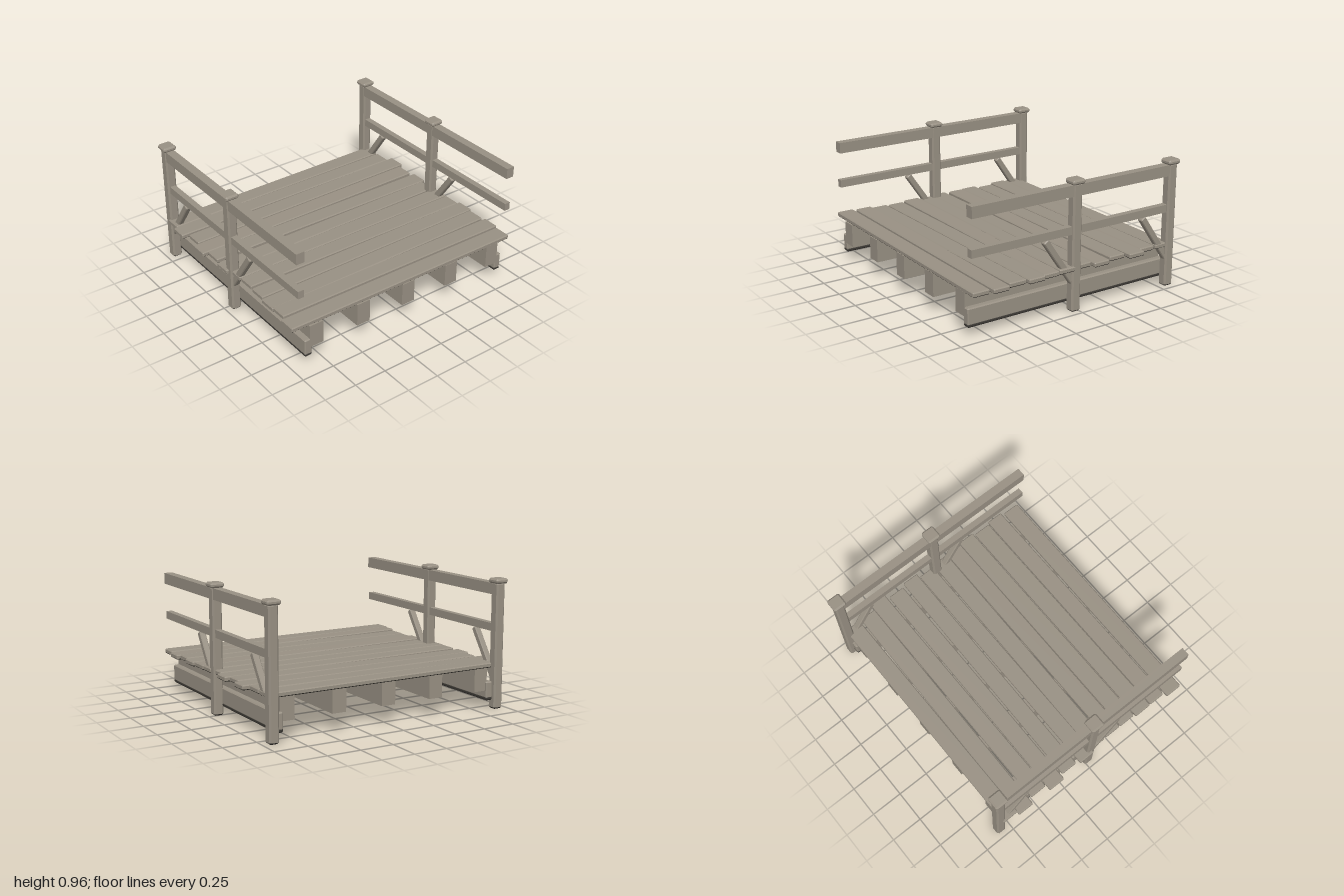
import * as THREE from 'three';
import { ConvexGeometry } from 'three/addons/geometries/ConvexGeometry.js';

const wood = new THREE.MeshStandardMaterial({ color: 0x989083 });
wood.name = 'weatheredWood';
const dampWood = new THREE.MeshStandardMaterial({ color: 0x3d3a35 });
dampWood.name = 'dampWood';

// Box with flat chamfers along every edge
function chamferBox(w, h, d, c) {
  const points = [];
  for (const x of [-w / 2, w / 2]) for (const y of [-h / 2, h / 2]) for (const z of [-d / 2, d / 2]) {
    const sx = Math.sign(x) * c, sy = Math.sign(y) * c, sz = Math.sign(z) * c;
    points.push(
      new THREE.Vector3(x, y - sy, z - sz),
      new THREE.Vector3(x - sx, y, z - sz),
      new THREE.Vector3(x - sx, y - sy, z));
  }
  return new ConvexGeometry(points);
}

// Adds a timber spanning the given min/max corners; chamfer 0 gives sharp edges
function timber(parent, name, [x0, x1], [y0, y1], [z0, z1], chamfer = 0, material = wood) {
  const w = x1 - x0, h = y1 - y0, d = z1 - z0;
  const geometry = chamfer ? chamferBox(w, h, d, chamfer) : new THREE.BoxGeometry(w, h, d).toNonIndexed();
  const mesh = new THREE.Mesh(geometry, material);
  mesh.name = name;
  mesh.position.set((x0 + x1) / 2, (y0 + y1) / 2, (z0 + z1) / 2);
  parent.add(mesh);
  return mesh;
}

// Gives the downward faces of a timber the damp colour
function dampUnderside(mesh) {
  const { geometry } = mesh;
  const normal = geometry.getAttribute('normal');
  geometry.clearGroups();
  for (let i = 0; i < normal.count; i += 3) {
    geometry.addGroup(i, 3, normal.getY(i) < -0.3 ? 1 : 0);
  }
  mesh.material = [wood, dampWood];
  return mesh;
}

// Uneven deck boards: [left x, right x, back z, front z, centre y, yaw, rise at front]
const BOARDS = [
  [-0.822, -0.692, -0.95, 0.97, 0.323, 0.005, 0],
  [-0.687, -0.557, -0.95, 0.995, 0.322, -0.006, -0.003],
  [-0.546, -0.412, -1.0, 0.95, 0.323, 0.005, -0.003],
  [-0.401, -0.267, -0.96, 0.995, 0.322, 0, -0.005],
  [-0.25, -0.119, -0.985, 0.96, 0.324, -0.005, 0.003],
  [-0.103, 0.026, -0.95, 0.98, 0.323, 0.006, 0],
  [0.032, 0.166, -0.965, 0.95, 0.324, -0.005, 0],
  [0.175, 0.307, -0.965, 0.95, 0.327, 0, 0.006],
  [0.313, 0.446, -0.985, 0.95, 0.323, 0.004, 0],
  [0.455, 0.594, -0.965, 0.965, 0.323, 0.004, -0.002],
  [0.6, 0.728, -0.985, 0.965, 0.327, 0, 0.008],
  [0.744, 0.876, -0.965, 0.995, 0.325, -0.003, 0.005],
];

function makeDeck() {
  const deck = new THREE.Group();
  deck.name = 'deck';
  BOARDS.forEach(([x0, x1, z0, z1, y, yaw, rise], i) => {
    const board = timber(deck, `deckBoard${i + 1}`, [x0, x1], [y - 0.018, y + 0.018], [z0, z1], 0.007);
    board.rotation.set(-rise, yaw, 0);
    dampUnderside(board);
  });
  // Joists under the boards
  for (let i = -2; i <= 2; i++) {
    const z = i * 0.4;
    dampUnderside(timber(deck, `joist${i + 3}`, [-0.81, 0.879], [0.135, 0.31], [z - 0.055, z + 0.055]));
  }
  return deck;
}

// One side of the bridge: beam, posts, caps, rails and braces; s is +1 front, -1 back
function makeSide(s) {
  const side = new THREE.Group();
  side.name = s > 0 ? 'frontRailing' : 'backRailing';
  const span = (a, b) => (s > 0 ? [a, b] : [-b, -a]);

  timber(side, 'sideBeam', [-0.83, 0.879], [0.08, 0.203], span(0.84, 0.897), 0.008);
  timber(side, 'beamSole', [-0.83, 0.879], [0.063, 0.092], span(0.84, 0.897), 0.009, dampWood);
  timber(side, 'topRail', [-0.83, 0.879], [0.845, 0.927], span(0.89, 0.955));
  timber(side, 'middleRail', [-0.83, 0.879], [0.572, 0.63], span(0.9, 0.946));

  for (const x of [-0.828, 0.026]) {
    dampUnderside(timber(side, 'post', [x - 0.038, x + 0.038], [0, 0.935], span(0.887, 0.961), 0.012));
    timber(side, 'postCap', [x - 0.053, x + 0.053], [0.928, 0.965], span(0.872, 0.976), 0.012);
    // Diagonal brace rising from the post
    const foot = new THREE.Vector2(x + 0.012, 0.212);
    const tip = new THREE.Vector2(x + 0.254, 0.564);
    const brace = new THREE.Mesh(chamferBox(foot.distanceTo(tip), 0.046, 0.046, 0.006), wood);
    brace.name = 'brace';
    brace.position.set((foot.x + tip.x) / 2, (foot.y + tip.y) / 2, s * 0.924);
    brace.rotation.z = tip.clone().sub(foot).angle();
    side.add(brace);
  }
  return side;
}

export function createModel() {
  const model = new THREE.Group();
  model.name = 'woodenBridgeSection';
  model.add(makeDeck(), makeSide(1), makeSide(-1));
  return model;
}
